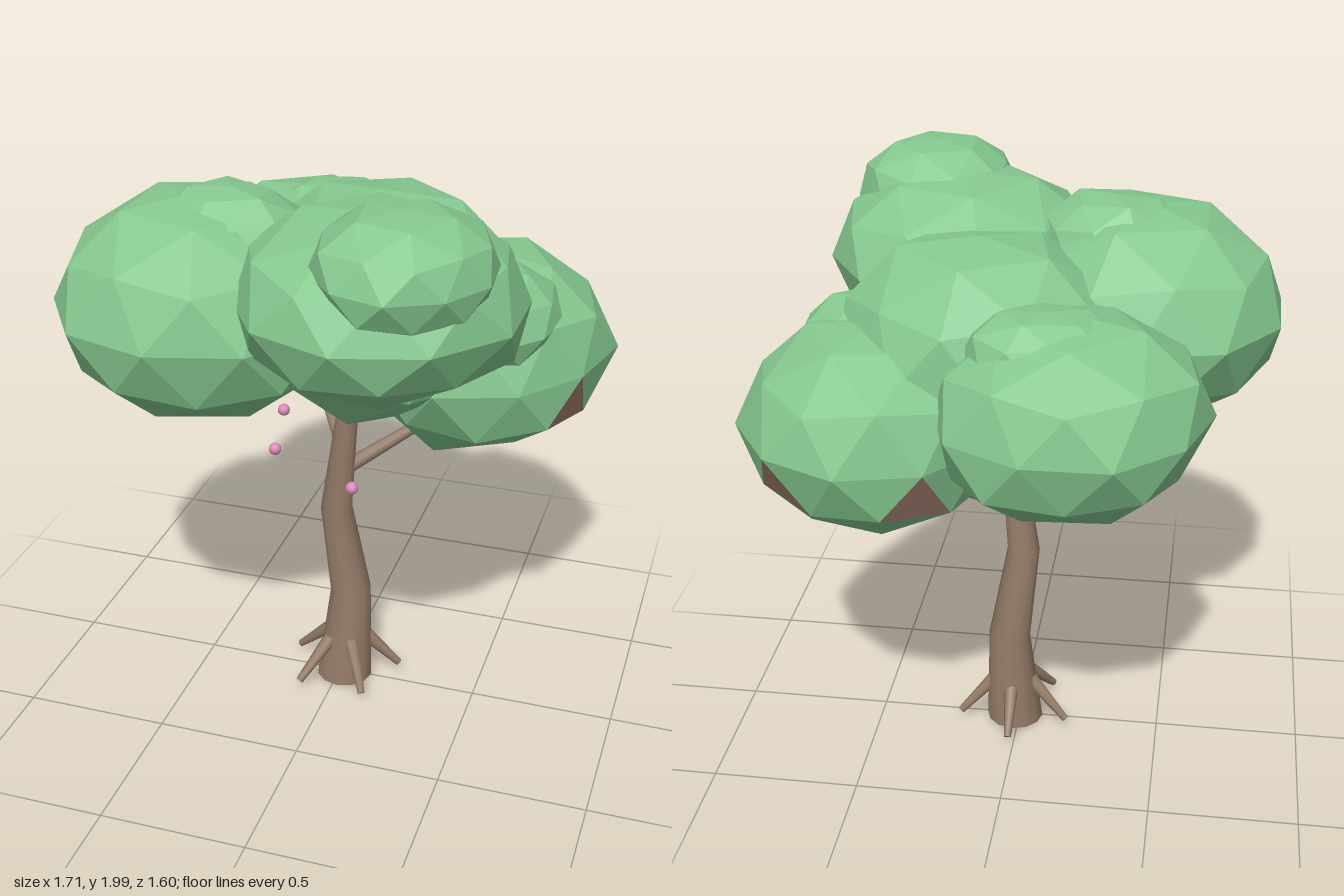
import * as THREE from 'three';

const V = (p) => new THREE.Vector3(...p);
const rad = THREE.MathUtils.degToRad;

// Faceted leaf clump: a pole-up icosphere, slightly blunt above and below, with uneven corners
function clumpGeometry(radii, yaw, seed) {
  const geo = new THREE.IcosahedronGeometry(1, 1);
  geo.rotateX(-Math.atan((1 + Math.sqrt(5)) / 2));
  geo.rotateY(yaw);
  const pos = geo.attributes.position;
  const v = new THREE.Vector3();
  for (let i = 0; i < pos.count; i++) {
    v.fromBufferAttribute(pos, i);
    const wobble = Math.sin(v.x * 5.1 + seed) * Math.sin(v.y * 4.3 + seed * 2.3) * Math.sin(v.z * 4.7 + seed * 1.7);
    v.y = THREE.MathUtils.clamp(v.y, -0.94, 0.94) / 0.94;
    v.multiplyScalar(1.02 + 0.06 * wobble);
    pos.setXYZ(i, v.x * radii[0], v.y * radii[1], v.z * radii[2]);
  }
  geo.computeVertexNormals();
  return geo;
}

// Round tapered limb through rings of [x, y, z, radius], listed from the top down
function limbGeometry(rings, sides) {
  const n = rings.length - 1;
  const geo = new THREE.CylinderGeometry(1, 1, 1, sides, n);
  const pos = geo.attributes.position;
  for (let i = 0; i < pos.count; i++) {
    const [x, y, z, r] = rings[Math.round((0.5 - pos.getY(i)) * n)];
    pos.setXYZ(i, x + pos.getX(i) * r, y, z + pos.getZ(i) * r);
  }
  geo.computeVertexNormals();
  return geo;
}

export function createModel() {
  const bark = new THREE.MeshStandardMaterial({ color: 0x947c68 });
  bark.name = 'bark';
  const leaf = new THREE.MeshStandardMaterial({ color: 0x86c990 });
  leaf.name = 'leafGreen';
  const dryLeaf = new THREE.MeshStandardMaterial({ color: 0x977868 });
  dryLeaf.name = 'dryLeafBrown';
  const pink = new THREE.MeshStandardMaterial({ color: 0xd889b8 });
  pink.name = 'berryPink';
  leaf.flatShading = dryLeaf.flatShading = true;

  const tree = new THREE.Group();
  tree.name = 'tree';
  const add = (name, geo, mat, at = [0, 0, 0]) => {
    const mesh = new THREE.Mesh(geo, mat);
    mesh.name = name;
    mesh.position.set(...at);
    tree.add(mesh);
    return mesh;
  };

  // Straight tapered stick between two points
  const stick = (name, from, to, r0, r1) => {
    const a = V(from), b = V(to), dir = b.clone().sub(a);
    const mesh = add(name, new THREE.CylinderGeometry(r1, r0, dir.length(), 8), bark, a.clone().add(b).multiplyScalar(0.5).toArray());
    mesh.quaternion.setFromUnitVectors(new THREE.Vector3(0, 1, 0), dir.normalize());
  };

  // Crooked trunk
  add('trunk', limbGeometry([
    [0.05, 1.4, 0.03, 0.03],
    [0.035, 1.1, 0.025, 0.037],
    [-0.012, 0.7, 0.005, 0.056],
    [0.035, 0.36, -0.015, 0.073],
    [0.017, 0.005, 0, 0.1],
  ], 12), bark);

  // Branches
  stick('rightBranch', [0.02, 0.92, 0.01], [-0.2, 1.28, -0.2], 0.027, 0.014);
  stick('leftBranch', [0.02, 0.86, 0.01], [0.4, 1.1, -0.2], 0.027, 0.014);

  // Five roots around the foot
  for (let i = 0; i < 5; i++) {
    const a = rad(55 + i * 72);
    const c = Math.cos(a), s = Math.sin(a);
    stick('root', [0.015 + 0.2 * c, 0.04, 0.2 * s], [0.02 + 0.065 * c, 0.175, 0.065 * s], 0.013, 0.026);
  }

  // Crown: name, centre, radii, yaw
  const clumps = [
    ['frontRightClump', [-0.38, 1.53, 0.24], [0.47, 0.345, 0.46], 0.3],
    ['frontRightCap', [-0.28, 1.74, 0.23], [0.26, 0.17, 0.22], 1.0],
    ['backRightClump', [-0.2, 1.41, -0.38], [0.43, 0.31, 0.42], 0.7],
    ['backRightCap', [-0.13, 1.6, -0.4], [0.26, 0.14, 0.2], 0.2],
    ['middleClump', [0.12, 1.48, -0.06], [0.47, 0.36, 0.45], 0.5],
    ['leftCap', [0.48, 1.46, -0.07], [0.24, 0.17, 0.27], 0.1],
    ['frontLeftClump', [0.24, 1.655, 0.36], [0.45, 0.275, 0.44], 0.9],
    ['topCap', [0.35, 1.822, 0.51], [0.275, 0.174, 0.285], 0.4],
  ];
  clumps.forEach(([name, at, radii, yaw], i) => add(name, clumpGeometry(radii, yaw, i + 1), leaf, at));

  // Left clump with four dry facets, each the face nearest a given [azimuth, elevation]
  const radii = [0.425, 0.325, 0.45];
  const geo = clumpGeometry(radii, 0.21, 9);
  const pos = geo.attributes.position;
  const faces = [];
  for (let i = 0; i < pos.count; i += 3) {
    const mid = new THREE.Vector3();
    for (let k = 0; k < 3; k++) mid.add(new THREE.Vector3().fromBufferAttribute(pos, i + k));
    faces.push(mid.divide(V(radii)).normalize());
  }
  const dry = [[66, -20], [138, -20], [210, -20], [156, -70]].map(([azimuth, elevation]) => {
    const d = new THREE.Vector3().setFromSphericalCoords(1, rad(90 - elevation), rad(azimuth));
    const dots = faces.map((f) => f.dot(d));
    return dots.indexOf(Math.max(...dots));
  });
  faces.forEach((f, i) => geo.addGroup(i * 3, 3, dry.includes(i) ? 1 : 0));
  add('leftClump', geo, [leaf, dryLeaf], [0.425, 1.285, -0.24]);

  // Hanging berries
  const berry = new THREE.SphereGeometry(0.021, 12, 8);
  [[0.155, 0.995, 0.365], [-0.175, 0.985, 0.17], [-0.35, 1.035, -0.07], [-0.21, 1.035, -0.02],
    [-0.39, 1.13, -0.25], [-0.235, 1.14, -0.195], [-0.05, 1.2, -0.17]].forEach((p) => add('berry', berry, pink, p));

  return tree;
}
